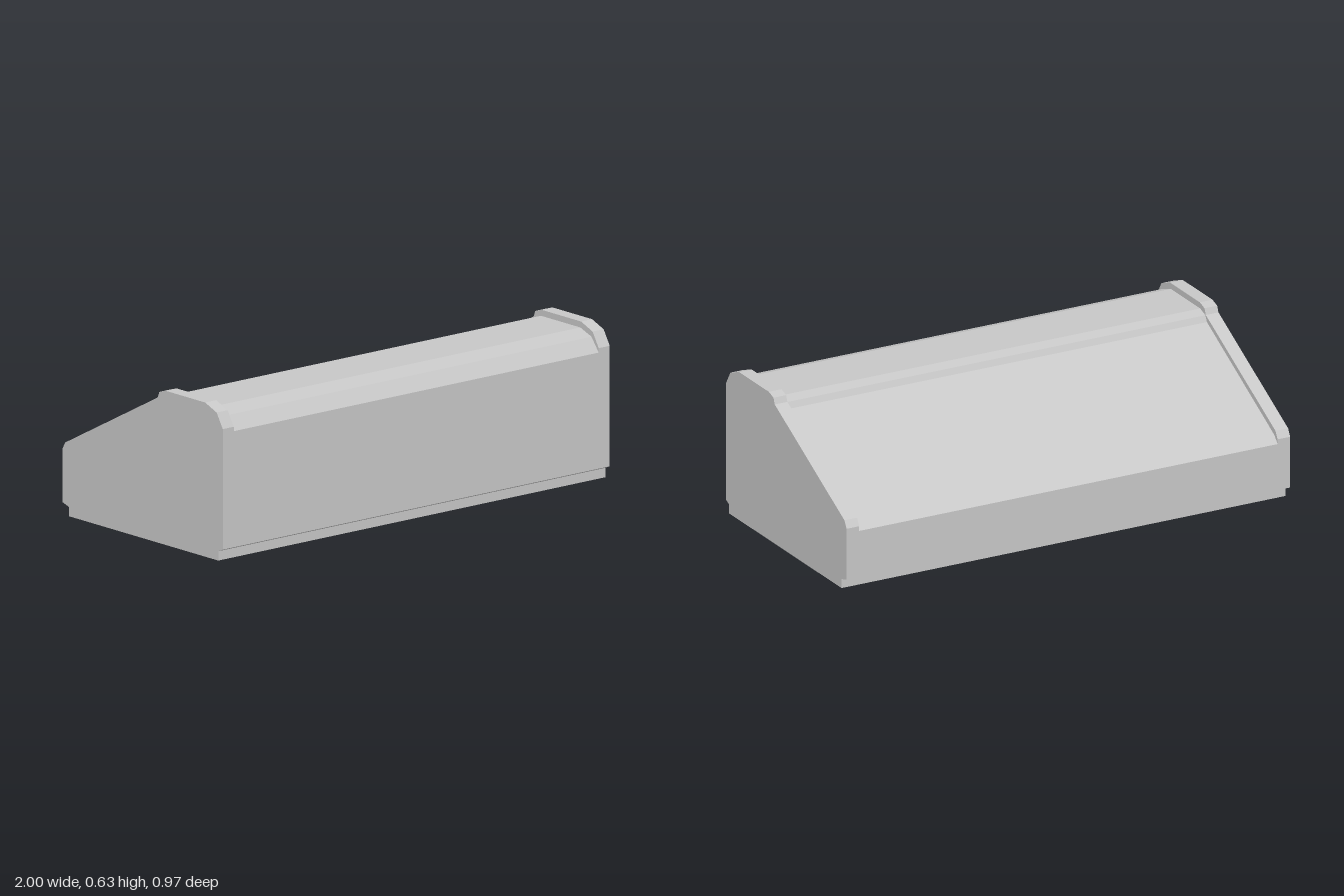
import * as THREE from 'three';

const grey = new THREE.MeshStandardMaterial({ color: 0xc6c6c6 });
grey.name = 'light grey';

// Shared lower outline as [z, y]: base plinth and the bottom of each wall
const lowerBack = [[-0.487, 0.05], [-0.447, 0.038], [-0.447, 0]];
const lowerFront = [[0.46, 0], [0.46, 0.038], [0.487, 0.05]];

// Upper outline of the raised end panels
const panelTop = [
  [0.487, 0.54], [0.45, 0.6], [0.38, 0.627], [0.14, 0.627], [0.102, 0.615],
  [0.092, 0.59], [-0.47, 0.295], [-0.487, 0.265],
];

// Upper outline of the recessed body between the panels
const bodyTop = [
  [0.487, 0.522], [0.443, 0.578], [0.375, 0.602], [0.137, 0.602], [0.095, 0.588],
  [0.083, 0.563], [-0.462, 0.274], [-0.487, 0.245],
];

// Extrudes a side profile along x, from x0 to x1
function extrudeAlongX(name, top, x0, x1) {
  const outline = [...lowerFront, ...top, ...lowerBack];
  const shape = new THREE.Shape(outline.map(([z, y]) => new THREE.Vector2(-z, y)));
  const geometry = new THREE.ExtrudeGeometry(shape, { depth: x1 - x0, bevelEnabled: false });
  geometry.rotateY(Math.PI / 2).translate(x0, 0, 0);
  const mesh = new THREE.Mesh(geometry, grey);
  mesh.name = name;
  return mesh;
}

export function createModel() {
  const model = new THREE.Group();
  model.name = 'slopedCounter';
  const inner = 0.943;
  model.add(
    extrudeAlongX('body', bodyTop, -inner, inner),
    extrudeAlongX('leftEndPanel', panelTop, inner, 1),
    extrudeAlongX('rightEndPanel', panelTop, -1, -inner),
  );
  return model;
}
